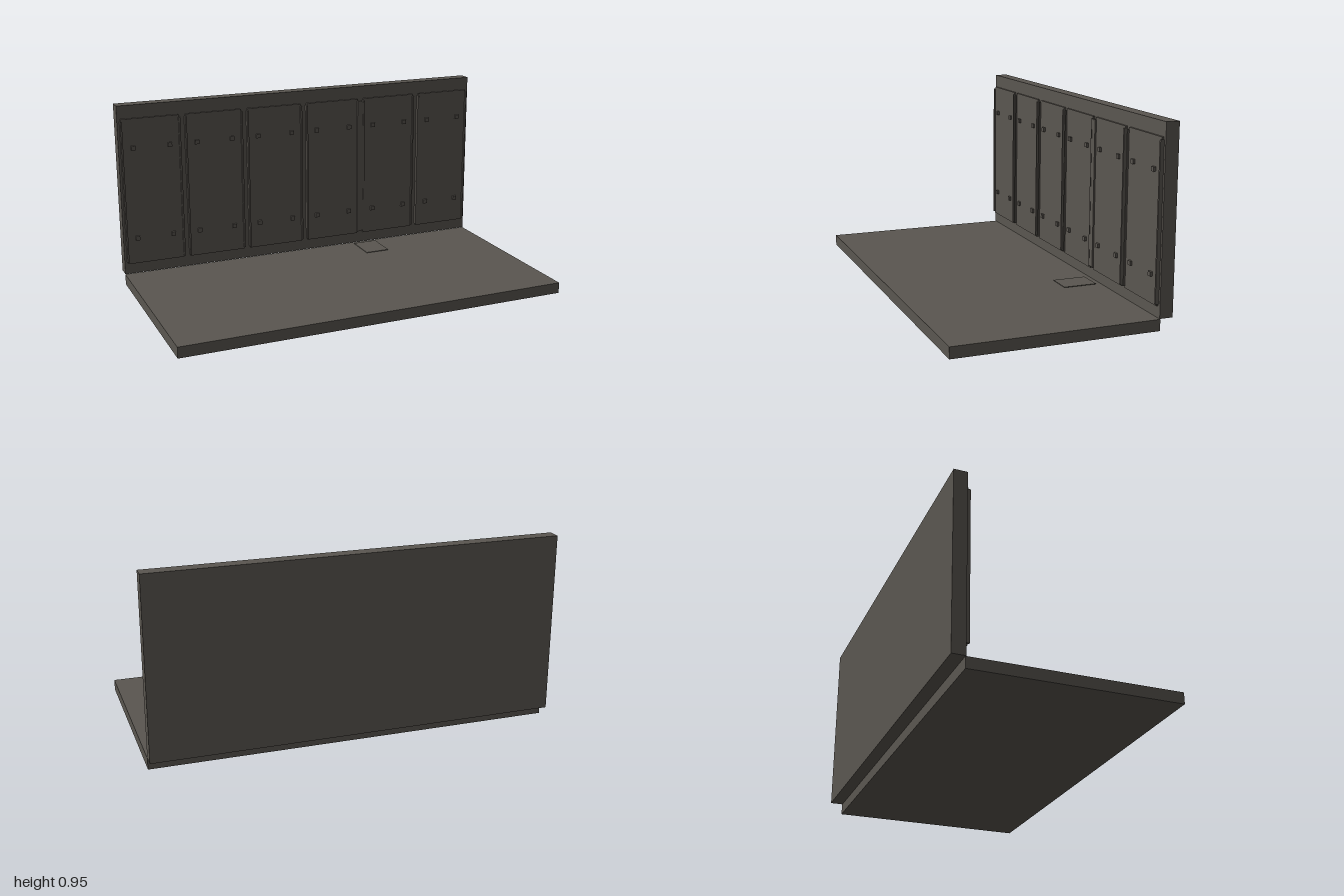
import * as THREE from 'three';

const stone = new THREE.MeshStandardMaterial({ color: 0x5a5650 });
stone.name = 'dark grey stone';

// Box given by its minimum and maximum corners
function box(name, [x0, y0, z0], [x1, y1, z1]) {
  const geometry = new THREE.BoxGeometry(x1 - x0, y1 - y0, z1 - z0);
  geometry.translate((x0 + x1) / 2, (y0 + y1) / 2, (z0 + z1) / 2);
  const mesh = new THREE.Mesh(geometry, stone);
  mesh.name = name;
  return mesh;
}

// Upright strip with cut corners
function coverStrip(x0, x1, y0, y1, cut) {
  const shape = new THREE.Shape([
    [x0, y0], [x1 - cut, y0], [x1, y0 + cut],
    [x1, y1 - cut], [x1 - cut, y1], [x0, y1],
  ].map(([x, y]) => new THREE.Vector2(x, y)));
  const geometry = new THREE.ExtrudeGeometry(shape, { depth: 0.018, bevelEnabled: false });
  geometry.translate(0, 0, -0.465);
  const mesh = new THREE.Mesh(geometry, stone);
  mesh.name = 'coverStrip';
  return mesh;
}

// Wall panel with raised side rims and four square bolts
function wallPanel(cx) {
  const panel = new THREE.Group();
  panel.name = 'wallPanel';
  const half = 0.149, rim = 0.009;
  panel.add(box('panelPlate', [cx - half, 0.113, -0.466], [cx + half, 0.878, -0.454]));
  for (const side of [-1, 1]) {
    const x = cx + side * (half + 0.001);
    panel.add(box('panelRim', [x - rim / 2, 0.122, -0.466], [x + rim / 2, 0.867, -0.446]));
    for (const y of [0.25, 0.728]) {
      const bx = cx + side * 0.095;
      panel.add(box('bolt', [bx - 0.011, y - 0.011, -0.456], [bx + 0.011, y + 0.011, -0.443]));
    }
  }
  return panel;
}

export function createModel() {
  const model = new THREE.Group();
  model.name = 'wallAndFloorSection';

  // Slabs
  model.add(box('floorSlab', [-1, 0, -0.468], [1, 0.055, 0.53]));
  model.add(box('wallSlab', [-1, 0.057, -0.53], [1, 0.946, -0.464]));

  // Row of six panels
  for (let i = 0; i < 6; i++) model.add(wallPanel((i - 2.5) / 3));

  // Strip closing one of the joints
  model.add(coverStrip(0.32, 0.349, 0.125, 0.865, 0.012));

  // Thin plate lying on the floor
  model.add(box('floorPlate', [0.29, 0.0575, -0.437], [0.42, 0.0605, -0.267]));

  return model;
}
